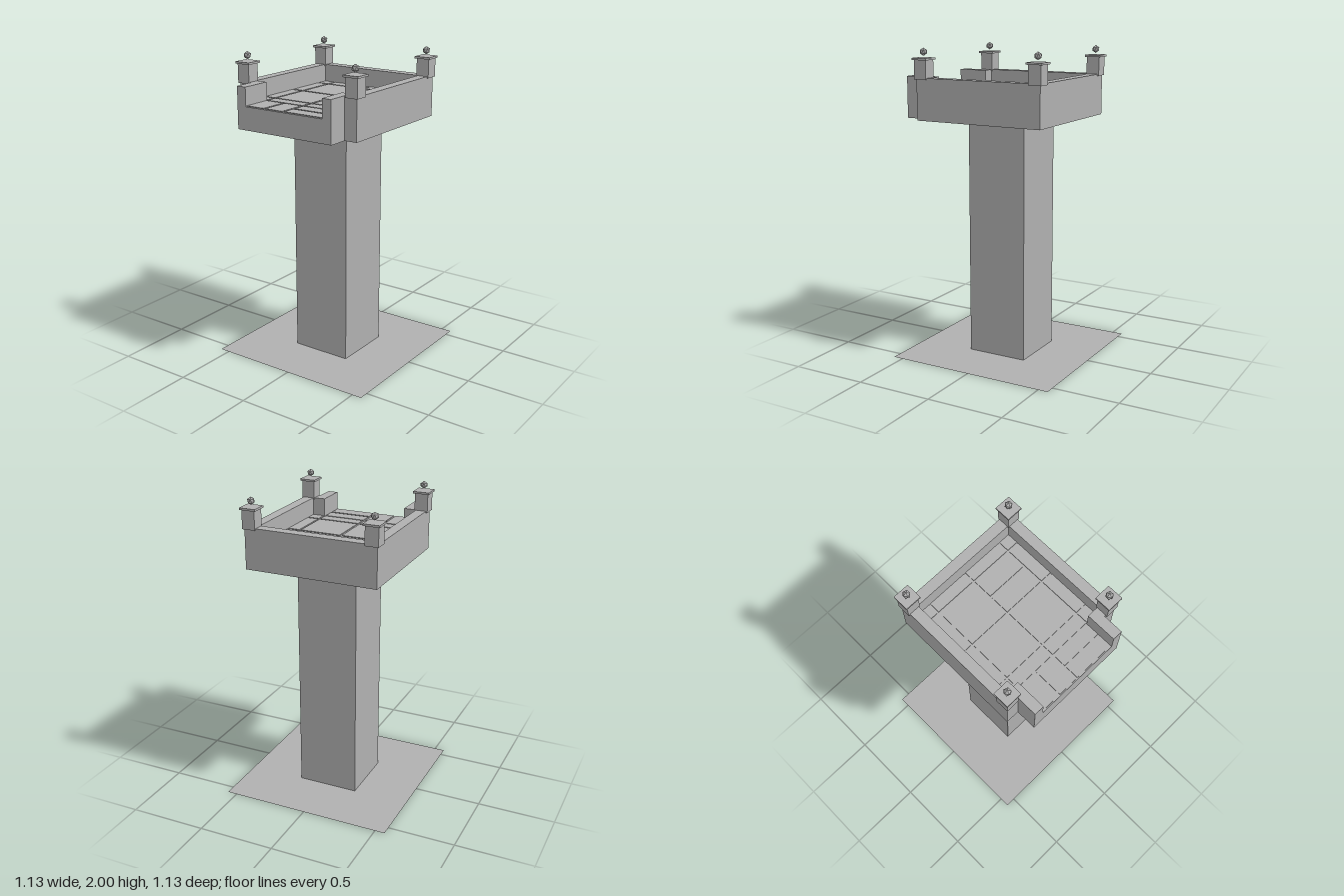
import * as THREE from 'three';

export function createModel() {
  const model = new THREE.Group();
  const stone = new THREE.MeshStandardMaterial({ color: 0xb0b0b0 });
  stone.name = 'grey stone';
  stone.flatShading = true;
  stone.side = THREE.DoubleSide;

  const add = (name, geometry, x = 0, y = 0, z = 0, parent = model) => {
    const mesh = new THREE.Mesh(geometry, stone);
    mesh.name = name;
    mesh.position.set(x, y, z);
    parent.add(mesh);
    return mesh;
  };

  // Extrudes an x/z outline between two heights
  const slab = (name, points, bottom, top) => {
    const shape = new THREE.Shape(points.map(([x, z]) => new THREE.Vector2(x, z)));
    const geometry = new THREE.ExtrudeGeometry(shape, { depth: top - bottom, bevelEnabled: false });
    geometry.rotateX(Math.PI / 2);
    return add(name, geometry, 0, top, 0);
  };
  const mirrored = (half) => [...half, ...half.map(([x, z]) => [-x, z]).reverse()];

  // Ground sheet and square shaft
  add('ground', new THREE.PlaneGeometry(1.13, 1.13).rotateX(-Math.PI / 2));
  add('shaft', new THREE.BoxGeometry(0.4, 1.55, 0.4), 0, 0.775, 0);

  // Platform with a projecting front bay, and its parapet open at the front
  const W = 0.433, I = 0.365, BAY = 0.348, GAP = 0.283, FRONT = 0.565, FLOOR = 1.696;
  const outer = [[BAY, FRONT], [BAY, W], [W, W], [W, -W]];
  slab('platform', mirrored(outer), 1.55, FLOOR);
  slab('parapet', mirrored([[I, -I], [I, I], [GAP, I], [GAP, FRONT], ...outer].reverse()).reverse(),
    FLOOR, 1.816);

  // Paving: raised slabs given as x0, x1, z0, z1
  const columns = [[-0.365, -0.292], [-0.28, -0.01], [0.005, 0.277], [0.289, 0.365]];
  const rows = [[-0.365, -0.293], [-0.281, -0.011], [0.003, 0.275], [0.287, 0.361]];
  const tiles = [];
  columns.forEach((c, i) => rows.forEach((r, j) => {
    if (i === 2 && j === 1) tiles.push([...c, -0.281, -0.153], [...c, -0.14, -0.011]);
    else tiles.push([...c, ...r]);
  }));
  // Bay paving
  tiles.push([-0.28, -0.152, 0.372, 0.558], [-0.138, -0.01, 0.372, 0.558],
    [0.005, 0.277, 0.372, 0.457], [0.005, 0.277, 0.471, 0.558]);
  const paving = new THREE.Group();
  paving.name = 'paving';
  model.add(paving);
  for (const [x0, x1, z0, z1] of tiles) {
    add('pavingSlab', new THREE.BoxGeometry(x1 - x0, 0.01, z1 - z0),
      (x0 + x1) / 2, 1.697, (z0 + z1) / 2, paving);
  }

  // Corner posts with flat caps and faceted ball finials
  const ball = new THREE.IcosahedronGeometry(0.025, 0);
  ball.rotateZ(Math.PI / 2 - Math.atan2((1 + Math.sqrt(5)) / 2, 1)); // point upwards
  for (const x of [-0.4, 0.4]) {
    for (const z of [-0.4, 0.4]) {
      const post = new THREE.Group();
      post.name = 'cornerPost';
      post.position.set(x, 0, z);
      model.add(post);
      add('postBlock', new THREE.BoxGeometry(0.086, 0.12, 0.086), 0, 1.866, 0, post);
      add('postCap', new THREE.BoxGeometry(0.106, 0.013, 0.106), 0, 1.9325, 0, post);
      add('finial', ball, 0, 1.975, 0, post);
    }
  }
  return model;
}
